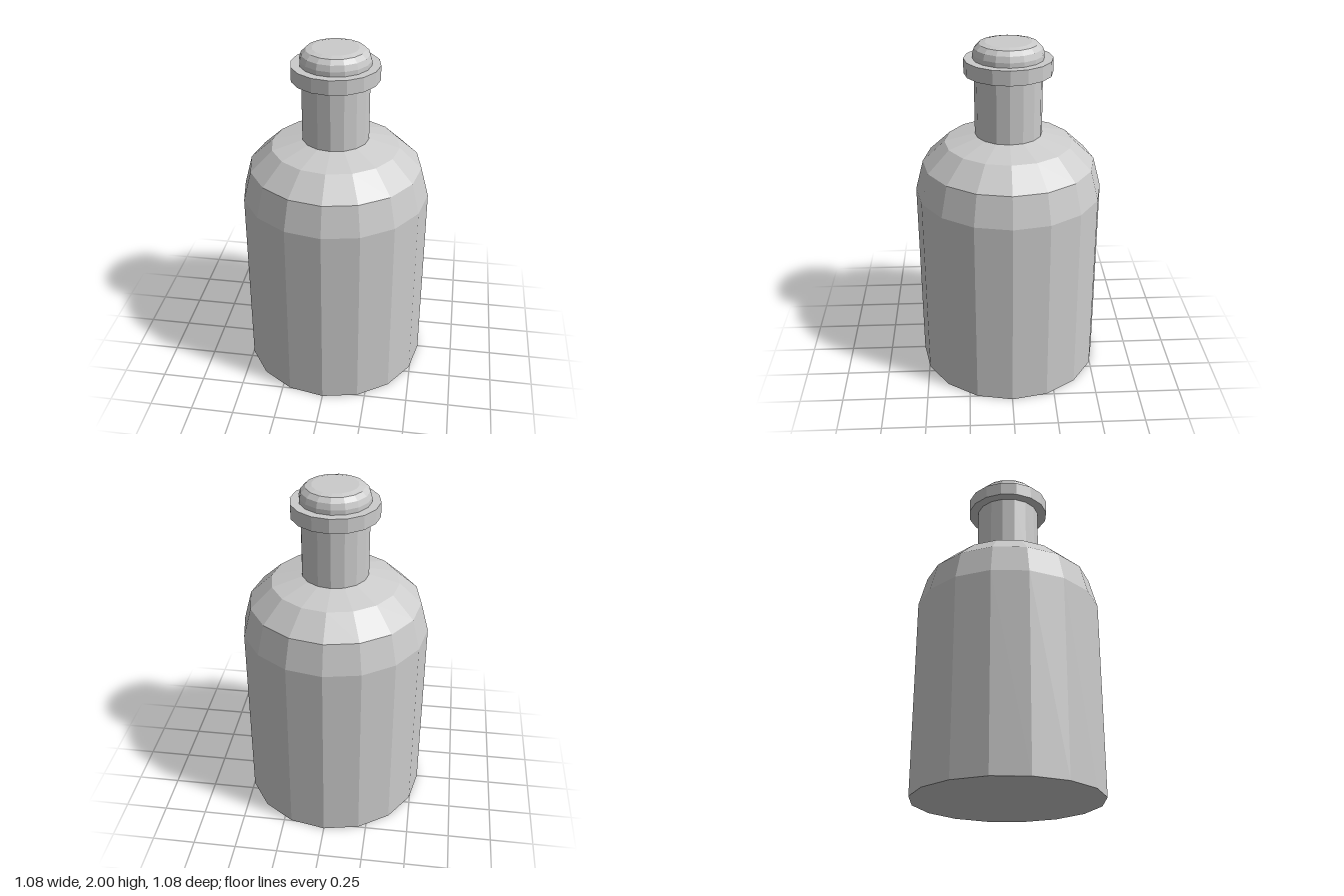
import * as THREE from 'three';

const SIDES = 16;

export function createModel() {
  const group = new THREE.Group();
  const material = new THREE.MeshStandardMaterial({ color: 0xcccccc, flatShading: true });

  // Adds a faceted turned part from [radius, height] pairs, bottom to top
  const turned = (name, profile) => {
    const points = profile.map(([r, y]) => new THREE.Vector2(r, y));
    const mesh = new THREE.Mesh(new THREE.LatheGeometry(points, SIDES), material);
    mesh.name = name;
    group.add(mesh);
  };

  // Straight body with a stepped round shoulder
  turned('body', [[0, 0], [0.538, 0], [0.538, 1.135], [0.492, 1.31], [0.364, 1.43], [0.19, 1.476]]);

  // Neck tube
  turned('neck', [[0.19, 1.476], [0.19, 1.83]]);

  // Collar around the mouth
  turned('collar', [[0.19, 1.828], [0.246, 1.828], [0.246, 1.91], [0.19, 1.91]]);

  // Stopper with a rounded top edge
  turned('stopper', [[0.19, 1.9], [0.197, 1.91], [0.197, 1.936], [0.187, 1.968], [0.162, 1.992], [0.128, 2], [0, 2]]);

  return group;
}
